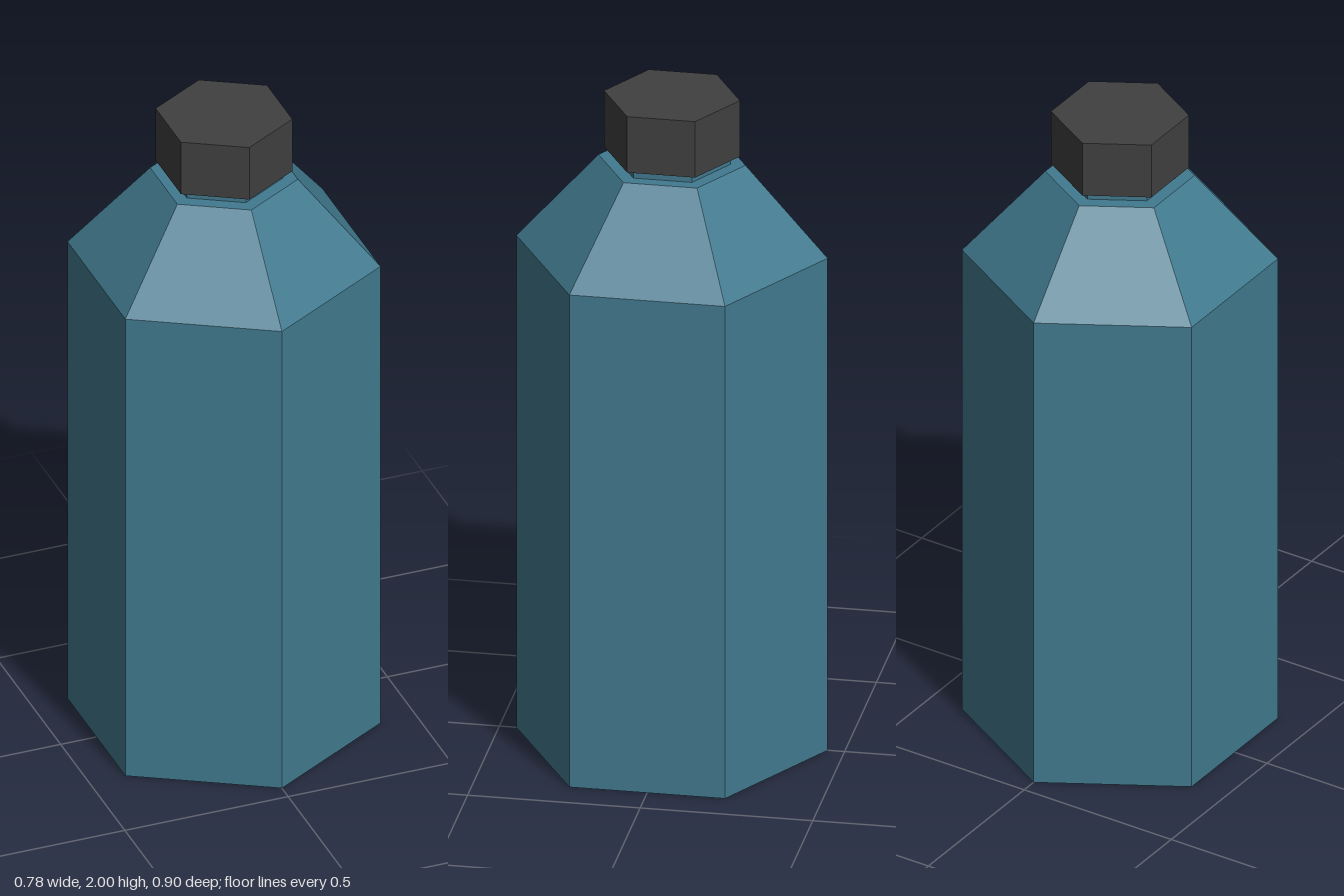
import * as THREE from 'three';

const SIDES = 6; // hexagonal, with corners on the z axis

export function createModel() {
  const model = new THREE.Group();
  model.name = 'bottle';

  const glass = new THREE.MeshStandardMaterial({ color: 0x417a8f, flatShading: true });
  const dark = new THREE.MeshStandardMaterial({ color: 0x404040, flatShading: true });

  // Turns a [radius, height] outline into a faceted six-sided solid
  const addTurned = (name, outline, material) => {
    const points = outline.map(([r, y]) => new THREE.Vector2(r, y));
    const mesh = new THREE.Mesh(new THREE.LatheGeometry(points, SIDES), material);
    mesh.name = name;
    model.add(mesh);
  };

  // Base, straight walls, sloped shoulder, ledge and short neck
  addTurned('body', [
    [0, 0], [0.451, 0], [0.451, 1.53], [0.213, 1.8], [0.17, 1.8], [0.17, 1.826],
  ], glass);

  // Screw cap overhanging the neck
  addTurned('cap', [[0, 1.826], [0.197, 1.826], [0.197, 2], [0, 2]], dark);

  return model;
}
